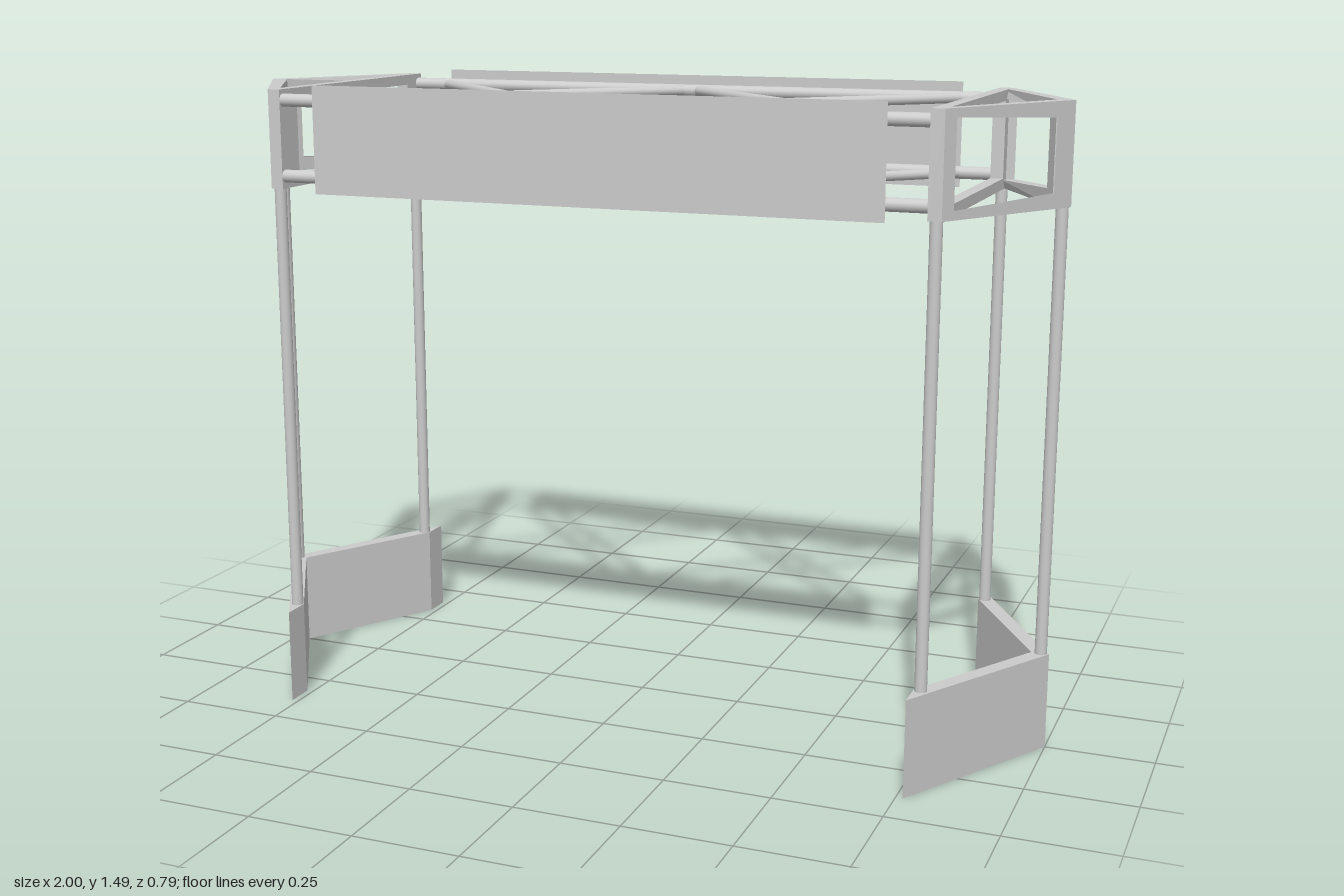
import * as THREE from 'three';

const grey = new THREE.MeshStandardMaterial({ color: 0xcccccc });
const sheet = new THREE.MeshStandardMaterial({ color: 0xcccccc, side: THREE.DoubleSide });

const SLOPE = 0.59;        // how far the end walls run in x per unit of z
const WALL = 0.0405;       // wall thickness measured along x
const INNER = 0.766;       // inner x limit of each end
const BASE = 1.25, TOP = 1.48;

function add(parent, name, geometry, material = grey) {
  const mesh = new THREE.Mesh(geometry, material);
  mesh.name = name;
  parent.add(mesh);
  return mesh;
}

// Round bar between two points
function rod(parent, name, a, b, radius) {
  const from = new THREE.Vector3(...a), to = new THREE.Vector3(...b);
  const dir = to.clone().sub(from);
  const mesh = add(parent, name, new THREE.CylinderGeometry(radius, radius, dir.length(), 16));
  mesh.position.copy(from).add(to).multiplyScalar(0.5);
  mesh.quaternion.setFromUnitVectors(new THREE.Vector3(0, 1, 0), dir.normalize());
}

const polygon = (points) => points.map(([x, y]) => new THREE.Vector2(x, y));

function windowed(outer, hole) {
  const shape = new THREE.Shape(polygon(outer));
  shape.holes.push(new THREE.Path(polygon(hole)));
  return shape;
}

// Two mitred, windowed walls meeting at the outer tip
function slantedWalls() {
  const half = (s) => windowed(
    [[0, BASE], [s * 0.345, BASE], [s * 0.345, TOP], [0, TOP]],
    [[s * 0.05, 1.285], [s * 0.315, 1.27], [s * 0.315, 1.46], [s * 0.05, 1.445]]);
  const geo = new THREE.ExtrudeGeometry([half(1), half(-1)], { depth: 1, bevelEnabled: false });
  const p = geo.attributes.position;
  for (let i = 0; i < p.count; i++) {
    const u = p.getX(i), depth = 1 - p.getZ(i);
    let z = Math.abs(u);
    // window reveals run square to the wall
    if (z > 0.01 && z < 0.33) z -= 0.0178 * depth;
    const x = Math.max(INNER, 1 - SLOPE * z - WALL * depth);
    p.setXYZ(i, x, p.getY(i), -Math.sign(u) * z);
  }
  geo.computeVertexNormals();
  return geo;
}

// Straight windowed wall closing the triangle
function crossWall() {
  const shape = windowed(
    [[-0.345, BASE], [0.345, BASE], [0.345, TOP], [-0.345, TOP]],
    [[-0.27, 1.275], [0.27, 1.275], [0.27, 1.455], [-0.27, 1.455]]);
  return new THREE.ExtrudeGeometry(shape, { depth: 0.03, bevelEnabled: false })
    .rotateY(Math.PI / 2).translate(INNER, 0, 0);
}

// V-shaped ballast foot
function footGeometry() {
  const z = (1 - INNER) / SLOPE, zi = (1 - WALL - INNER) / SLOPE;
  const shape = new THREE.Shape(polygon([
    [1, 0], [INNER, z], [INNER, zi], [1 - WALL, 0], [INNER, -zi], [INNER, -z]]));
  return new THREE.ExtrudeGeometry(shape, { depth: 0.226, bevelEnabled: false }).rotateX(-Math.PI / 2);
}

function createTower(name) {
  const tower = new THREE.Group();
  tower.name = name;
  add(tower, 'foot', footGeometry());
  add(tower, 'slantedWalls', slantedWalls());
  add(tower, 'crossWall', crossWall());
  for (const [x, z] of [[0.981, 0], [0.782, 0.33], [0.782, -0.33]])
    rod(tower, 'post', [x, 0.2, z], [x, BASE + 0.01, z], 0.014);
  return tower;
}

export function createModel() {
  const model = new THREE.Group();
  model.name = 'finishGantry';

  // End towers
  const left = createTower('leftTower');
  const right = createTower('rightTower');
  right.rotation.y = Math.PI;
  model.add(left, right);

  // Truss: long rails with crossed braces on both levels
  const truss = new THREE.Group();
  truss.name = 'truss';
  model.add(truss);
  for (const y of [1.279, 1.455]) {
    for (const s of [1, -1]) {
      rod(truss, 'rail', [-0.78, y, s * 0.33], [0.78, y, s * 0.33], 0.015);
      for (const d of [1, -1])
        rod(truss, 'brace', [s * 0.02, y, d * 0.325], [s * 0.675, y, -d * 0.325], 0.012);
    }
  }

  // Banner sheets on front and back
  for (const s of [1, -1]) {
    const banner = add(model, s > 0 ? 'frontBanner' : 'backBanner', new THREE.PlaneGeometry(1.355, 0.25), sheet);
    banner.position.set(0, 1.367, s * 0.347);
    if (s < 0) banner.rotation.y = Math.PI;
  }
  return model;
}
